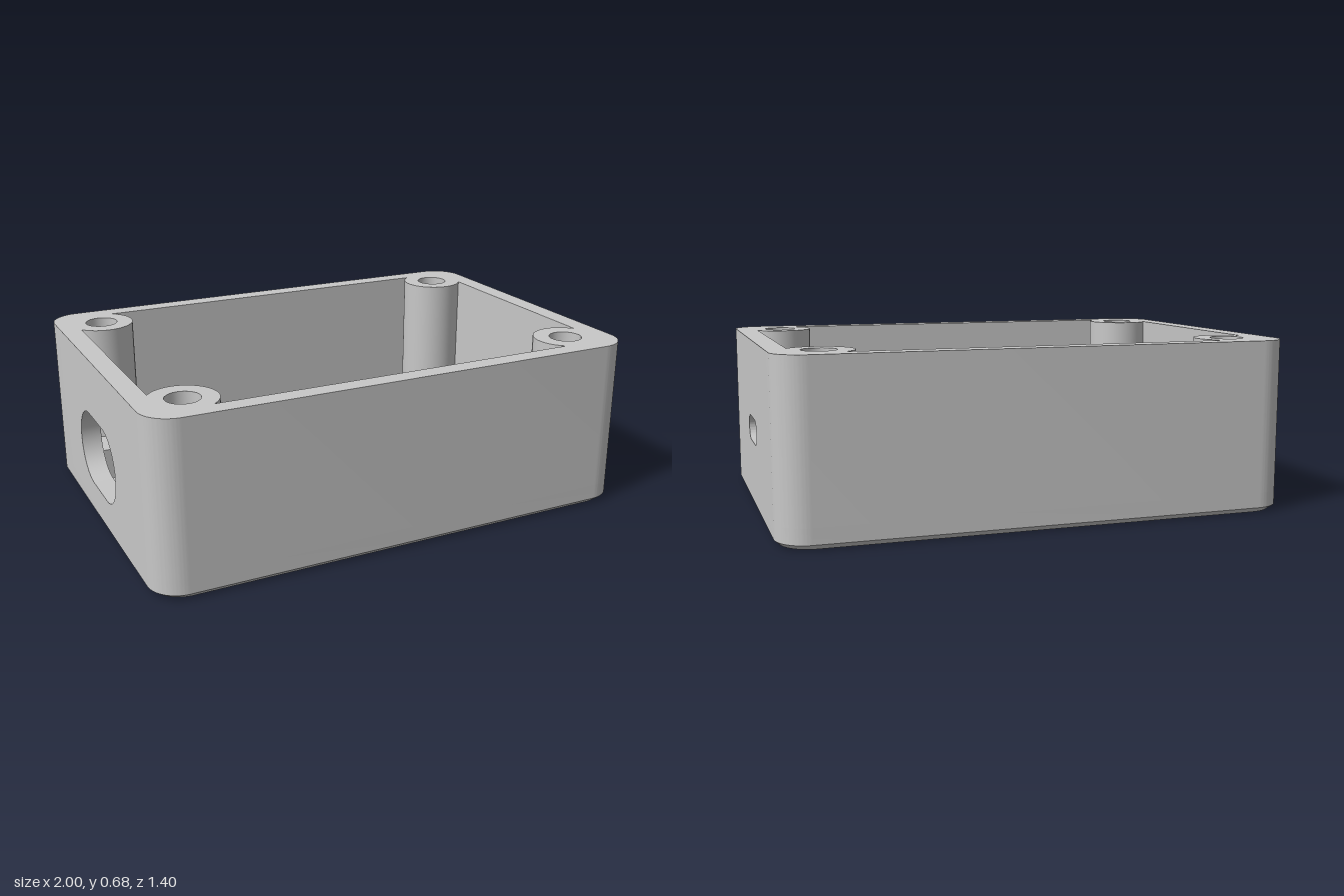
import * as THREE from 'three';
import { toCreasedNormals } from 'three/addons/utils/BufferGeometryUtils.js';

const W = 1, D = 0.7, H = 0.68;          // half width, half depth, height
const IN_X = 0.92, IN_Z = 0.625;         // cavity half sizes
const FLOOR = 0.08, CHAMFER = 0.02, CORNER = 0.12;
const POST = { x: 0.815, z: 0.52, r: 0.13, hole: 0.065 };
const SPLIT = 0.4;                       // side panels span z = -SPLIT..SPLIT

export function createModel() {
  const group = new THREE.Group();
  const grey = new THREE.MeshStandardMaterial({ color: 0xc8c8c8 });
  grey.name = 'light grey plastic';

  function add(name, geometry) {
    const mesh = new THREE.Mesh(toCreasedNormals(geometry, 0.5), grey);
    mesh.name = name;
    group.add(mesh);
    return mesh;
  }

  // Extrude a plan shape upward from y0 (shape y becomes -z)
  function rise(shape, y0, height) {
    return new THREE.ExtrudeGeometry(shape, { depth: height, bevelEnabled: false, curveSegments: 16 })
      .rotateX(-Math.PI / 2).translate(0, y0, 0);
  }

  // Floor slab with a chamfered underside
  const plan = new THREE.Shape();
  const cx = W - CORNER, cz = D - CORNER;
  plan.absarc(cx, cz, CORNER, 0, Math.PI / 2);
  plan.absarc(-cx, cz, CORNER, Math.PI / 2, Math.PI);
  plan.absarc(-cx, -cz, CORNER, Math.PI, Math.PI * 1.5);
  plan.absarc(cx, -cz, CORNER, Math.PI * 1.5, Math.PI * 2);
  plan.closePath();
  add('floor', rise(plan, CHAMFER, FLOOR - CHAMFER));
  const chamfer = rise(plan, 0, CHAMFER);
  const p = chamfer.attributes.position;
  for (let i = 0; i < p.count; i++) {
    if (p.getY(i) < CHAMFER / 2) {
      p.setX(i, p.getX(i) * (1 - CHAMFER / W));
      p.setZ(i, p.getZ(i) * (1 - CHAMFER / D));
    }
  }
  add('floorChamfer', chamfer);

  // Front and back walls, each with two corner screw posts
  const half = new THREE.Shape();
  const a = Math.acos((IN_X - POST.x) / POST.r);
  const b = Math.asin((IN_Z - POST.z) / POST.r);
  half.moveTo(W, SPLIT);
  half.lineTo(W, cz);
  half.absarc(cx, cz, CORNER, 0, Math.PI / 2);
  half.absarc(-cx, cz, CORNER, Math.PI / 2, Math.PI);
  half.lineTo(-W, SPLIT);
  half.lineTo(-IN_X, SPLIT);
  half.absarc(-POST.x, POST.z, POST.r, -Math.PI + a, b);
  half.absarc(POST.x, POST.z, POST.r, Math.PI - b, Math.PI * 2 - a);
  half.lineTo(IN_X, SPLIT);
  half.closePath();
  for (const s of [-1, 1]) {
    const hole = new THREE.Path();
    hole.absarc(s * POST.x, POST.z, POST.hole, 0, Math.PI * 2, true);
    half.holes.push(hole);
  }
  add('backWall', rise(half, FLOOR, H - FLOOR));
  add('frontWall', rise(half, FLOOR, H - FLOOR).rotateY(Math.PI));

  // Stepped blind bottoms of the screw holes
  const step = [[POST.hole, 0.48], [0.04, 0.48], [0.04, 0.28], [0, 0.28]]
    .map(([r, y]) => new THREE.Vector2(r, y));
  for (const sx of [-1, 1]) for (const sz of [-1, 1]) {
    add('screwHoleStep', new THREE.LatheGeometry(step, 32)).position.set(sx * POST.x, 0, sz * POST.z);
  }

  // Side wall panel with a rounded slot: centre height y, half length, radius
  function sidePanel(name, x, y, halfLength, r) {
    const shape = new THREE.Shape();
    shape.moveTo(-SPLIT, FLOOR);
    shape.lineTo(SPLIT, FLOOR);
    shape.lineTo(SPLIT, H);
    shape.lineTo(-SPLIT, H);
    shape.closePath();
    const slot = new THREE.Path();
    const c = halfLength - r;
    slot.absarc(c, y, r, -Math.PI / 2, Math.PI / 2);
    slot.absarc(-c, y, r, Math.PI / 2, Math.PI * 1.5);
    slot.closePath();
    shape.holes.push(slot);
    add(name, new THREE.ExtrudeGeometry(shape, { depth: W - IN_X, bevelEnabled: false, curveSegments: 20 })
      .rotateY(Math.PI / 2).translate(x, 0, 0));
  }
  sidePanel('leftWall', IN_X, 0.32, 0.125, 0.05);
  sidePanel('rightWall', -W, 0.295, 0.245, 0.15);

  // Raised pad carrying the circuit board
  add('boardPad', new THREE.BoxGeometry(0.84, 0.07, 0.615).translate(-0.43, FLOOR + 0.035, 0));

  // L-shaped brackets around the board corners: outer x, leg inner x, foot end x
  for (const [outer, inner, end] of [[-IN_X, -0.86, -0.79], [0.065, 0, -0.07]]) {
    for (const s of [-1, 1]) {
      const pts = [[outer, 0.25], [inner, 0.25], [inner, 0.365], [end, 0.365], [end, 0.43], [outer, 0.43]];
      const shape = new THREE.Shape(pts.map(([x, z]) => new THREE.Vector2(x, s * z)));
      add('boardBracket', rise(shape, FLOOR, 0.13));
    }
  }
  return group;
}
